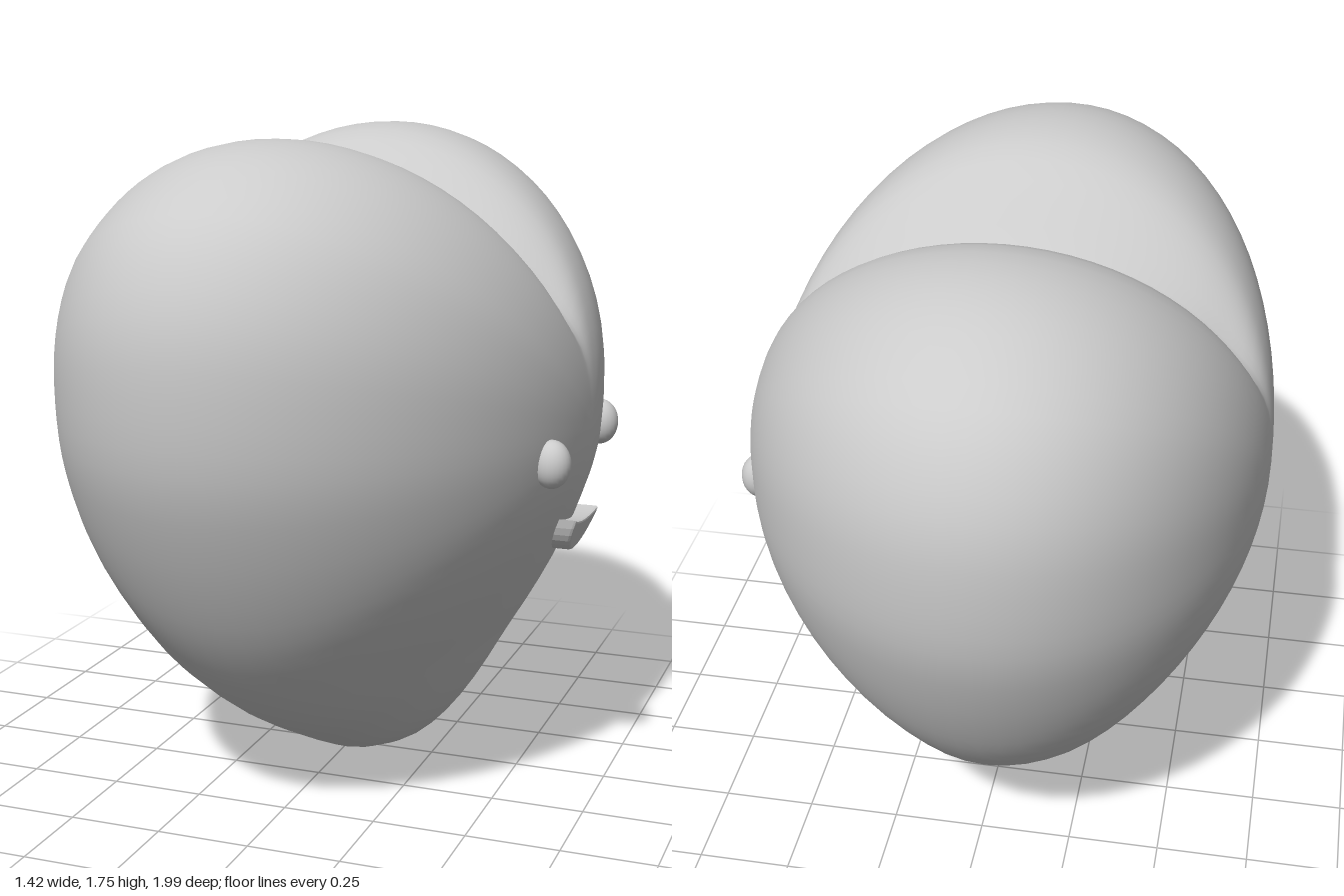
import * as THREE from 'three';
import { mergeVertices } from 'three/addons/utils/BufferGeometryUtils.js';

const CENTRE_Y = 1.0;
const HALF_THICKNESS = 0.7;

// Half of the heart outline as (z, y), from the top notch round to the bottom tip
const HALF_OUTLINE = [
  [0, 1.52], [0.06, 1.555], [0.185, 1.67], [0.295, 1.735], [0.445, 1.757], [0.6, 1.737],
  [0.73, 1.685], [0.865, 1.595], [0.943, 1.48], [0.988, 1.345], [0.997, 1.186], [0.975, 0.985],
  [0.911, 0.8], [0.82, 0.615], [0.74, 0.49], [0.616, 0.345], [0.465, 0.22], [0.28, 0.115],
  [0.12, 0.035], [0, 0.002],
];

function heartOutline(samples) {
  const curve = new THREE.CatmullRomCurve3(HALF_OUTLINE.map(([z, y]) => new THREE.Vector3(0, y, z)));
  const half = curve.getSpacedPoints(samples);
  const mirrored = half.slice(1, -1).reverse().map((p) => new THREE.Vector3(0, p.y, -p.z));
  return [...half, ...mirrored];
}

// Puffed heart: outline loops shrinking towards a pole on each flat side
function heartGeometry() {
  const loop = heartOutline(48);
  const n = loop.length;
  const rings = 40;
  const positions = [];
  const indices = [];
  for (let j = 0; j <= rings; j++) {
    const phi = (j / rings - 0.5) * Math.PI;
    const c = j === 0 || j === rings ? 0 : Math.cos(phi);
    const notch = THREE.MathUtils.smoothstep(c, 0, 0.65); // notch fades out on the cheeks
    for (const p of loop) {
      let dy = p.y - CENTRE_Y;
      if (dy > 0 && Math.abs(p.z) < 0.445) dy = THREE.MathUtils.lerp(0.757, dy, notch);
      // the lower half narrows to a point
      const power = 1 + 0.9 * c * THREE.MathUtils.smoothstep(-dy, 0, 0.9);
      const y = CENTRE_Y + dy * Math.pow(c, power);
      const z = p.z * c;
      const lean = -0.012 - 0.05 * Math.abs(z) + 0.06 * Math.max(0, 1 - y / 0.4);
      positions.push(HALF_THICKNESS * Math.sin(phi) + lean * c - 0.012 * (1 - c), y, z);
    }
  }
  for (let j = 0; j < rings; j++) {
    for (let i = 0; i < n; i++) {
      const k = (i + 1) % n;
      const a = j * n + i, b = j * n + k, d = a + n, e = b + n;
      if (j > 0) indices.push(a, b, e);
      if (j < rings - 1) indices.push(a, e, d);
      if (j === 0) indices.push(a, e, d);
      if (j === rings - 1) indices.push(a, b, e);
    }
  }
  // drop the doubled triangles of the polar rows
  const unique = [];
  const seen = new Set();
  for (let t = 0; t < indices.length; t += 3) {
    const key = indices.slice(t, t + 3).join();
    if (!seen.has(key)) unique.push(...indices.slice(t, t + 3));
    seen.add(key);
  }
  let geometry = new THREE.BufferGeometry();
  geometry.setAttribute('position', new THREE.Float32BufferAttribute(positions, 3));
  geometry.setIndex(unique);
  geometry = mergeVertices(geometry, 1e-5);
  geometry.computeVertexNormals();
  return geometry;
}

// Smiling crescent, extruded outwards and leaned to follow the cheek
function mouthGeometry() {
  const shape = new THREE.Shape();
  shape.moveTo(-0.112, 0.757);
  shape.bezierCurveTo(-0.1, 0.615, 0.09, 0.615, 0.118, 0.742);
  shape.quadraticCurveTo(0, 0.722, -0.112, 0.757);
  const geometry = new THREE.ExtrudeGeometry(shape, {
    depth: 0.06, curveSegments: 16, bevelThickness: 0.008, bevelSize: 0.006, bevelOffset: -0.006, bevelSegments: 2,
  });
  geometry.rotateY(Math.PI / 2);
  const pos = geometry.attributes.position;
  for (let i = 0; i < pos.count; i++) {
    const lean = 0.36 * (pos.getY(i) - 0.65) - 0.05 * pos.getZ(i);
    pos.setX(i, pos.getX(i) + 0.58 + lean);
  }
  geometry.computeVertexNormals();
  return geometry;
}

export function createModel() {
  const model = new THREE.Group();
  model.name = 'heart';
  const material = new THREE.MeshStandardMaterial({ color: 0xcccccc });
  const add = (name, geometry) => {
    const mesh = new THREE.Mesh(geometry, material);
    mesh.name = name;
    model.add(mesh);
    return mesh;
  };

  add('heartBody', heartGeometry());

  // Oval bead eyes
  for (const [name, z] of [['eyeFront', 0.307], ['eyeBack', -0.243]]) {
    const eye = add(name, new THREE.SphereGeometry(1, 24, 16));
    eye.scale.set(0.05, 0.063, 0.048);
    eye.position.set(0.656, 0.953, z);
  }

  add('mouth', mouthGeometry());
  return model;
}
